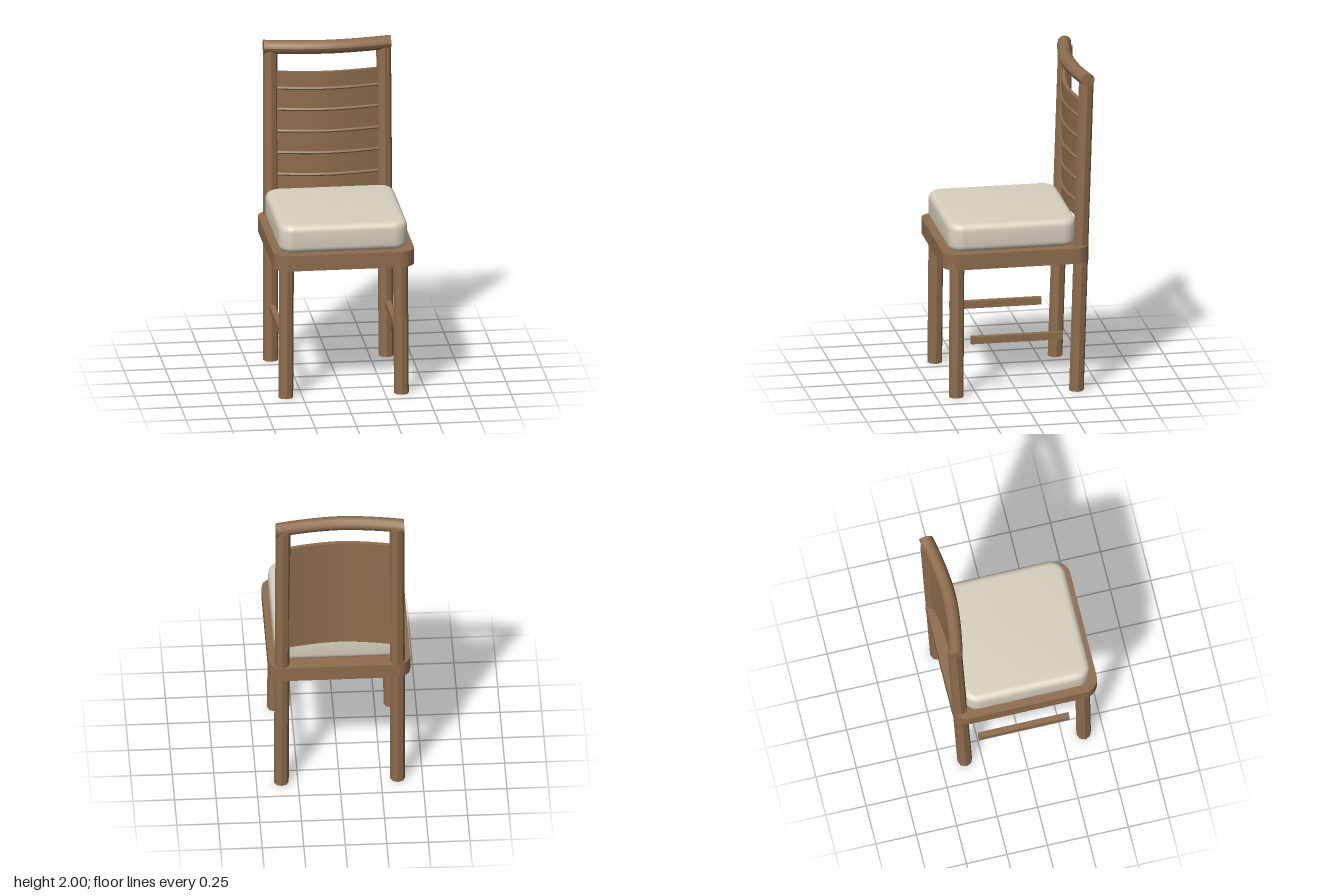
import * as THREE from 'three';
import { toCreasedNormals } from 'three/addons/utils/BufferGeometryUtils.js';

const wood = new THREE.MeshStandardMaterial({ color: 0x8f6d4e });
wood.name = 'wood';
const woodFaceted = wood;
const fabric = new THREE.MeshStandardMaterial({ color: 0xd8d1be });
fabric.name = 'cream fabric';

// Rectangle with rounded corners, centred on the origin
function roundedRect(w, d, r) {
  const x = w / 2 - r, y = d / 2 - r, q = Math.PI / 2;
  const s = new THREE.Shape();
  s.absarc(x, y, r, 0, q);
  s.absarc(-x, y, r, q, 2 * q);
  s.absarc(-x, -y, r, 2 * q, 3 * q);
  s.absarc(x, -y, r, 3 * q, 4 * q);
  s.closePath();
  return s;
}

// Sweep the ends of a part backwards so its middle bows forward
function bow(geometry, halfWidth, depth) {
  const p = geometry.attributes.position;
  for (let i = 0; i < p.count; i++) {
    const t = Math.abs(p.getX(i)) / halfWidth;
    p.setZ(i, p.getZ(i) - depth * Math.pow(t, 1.7));
  }
  geometry.computeVertexNormals();
  return geometry;
}

// Eight-sided leg running between two centre points
function leg(from, to, radius) {
  const g = new THREE.CylinderGeometry(radius, radius, to.y - from.y, 8);
  g.translate(0, (to.y - from.y) / 2, 0);
  // shear instead of rotating, so the foot stays flat on the floor
  const p = g.attributes.position, h = to.y - from.y;
  for (let i = 0; i < p.count; i++) {
    const t = p.getY(i) / h;
    p.setXYZ(i, p.getX(i) + from.x + (to.x - from.x) * t, p.getY(i) + from.y,
      p.getZ(i) + from.z + (to.z - from.z) * t);
  }
  return toCreasedNormals(g, 0.3);
}

export function createModel() {
  const chair = new THREE.Group();
  chair.name = 'chair';
  const add = (name, geometry, material, x = 0, y = 0, z = 0) => {
    const mesh = new THREE.Mesh(geometry, material);
    mesh.name = name;
    mesh.position.set(x, y, z);
    chair.add(mesh);
    return mesh;
  };

  // Seat frame: solid slab with faceted corners
  const frame = new THREE.ExtrudeGeometry(roundedRect(0.855, 0.893, 0.09),
    { depth: 0.097, bevelEnabled: false, curveSegments: 3 });
  frame.rotateX(-Math.PI / 2);
  add('seatFrame', frame, wood, 0, 0.818, 0.017);

  // Cushion: soft rounded block
  const b = 0.04;
  const cushion = new THREE.ExtrudeGeometry(roundedRect(0.78 - 2 * b, 0.785 - 2 * b, 0.05),
    { depth: 0.172 - 2 * b, bevelSize: b, bevelThickness: b, bevelSegments: 5, curveSegments: 6 });
  cushion.rotateX(-Math.PI / 2);
  add('cushion', toCreasedNormals(cushion, 0.7), fabric, 0, 0.914 + b, 0.033);

  // Legs and side stretchers, mirrored left and right
  for (const [side, s] of [['left', 1], ['right', -1]]) {
    add(side + 'FrontLeg', leg(new THREE.Vector3(s * 0.35, 0, 0.38),
      new THREE.Vector3(s * 0.345, 0.85, 0.374), 0.045), wood);
    add(side + 'BackPost', leg(new THREE.Vector3(s * 0.35, 0, -0.355),
      new THREE.Vector3(s * 0.343, 1.95, -0.417), 0.045), wood);
    add(side + 'Stretcher', new THREE.BoxGeometry(0.035, 0.044, 0.56), wood, s * 0.35, 0.35, 0.01);
  }

  // Bowed top rail
  const rail = new THREE.CylinderGeometry(0.0425, 0.0425, 0.77, 12, 20);
  rail.rotateZ(Math.PI / 2);
  add('topRail', bow(rail, 0.385, 0.049), wood, 0, 1.9575, -0.369);

  // Bowed back panel
  const panel = new THREE.BoxGeometry(0.62, 0.745, 0.025, 20, 1, 1);
  add('backPanel', bow(panel, 0.385, 0.06), wood, 0, 1.4325, -0.36);

  // Thin horizontal ribs on the panel front
  for (const y of [1.16, 1.297, 1.433, 1.57, 1.703]) {
    const rib = new THREE.CylinderGeometry(0.01, 0.01, 0.61, 8, 20);
    rib.rotateZ(Math.PI / 2);
    add('panelRib', bow(rib, 0.385, 0.06), wood, 0, y, -0.346);
  }
  return chair;
}
